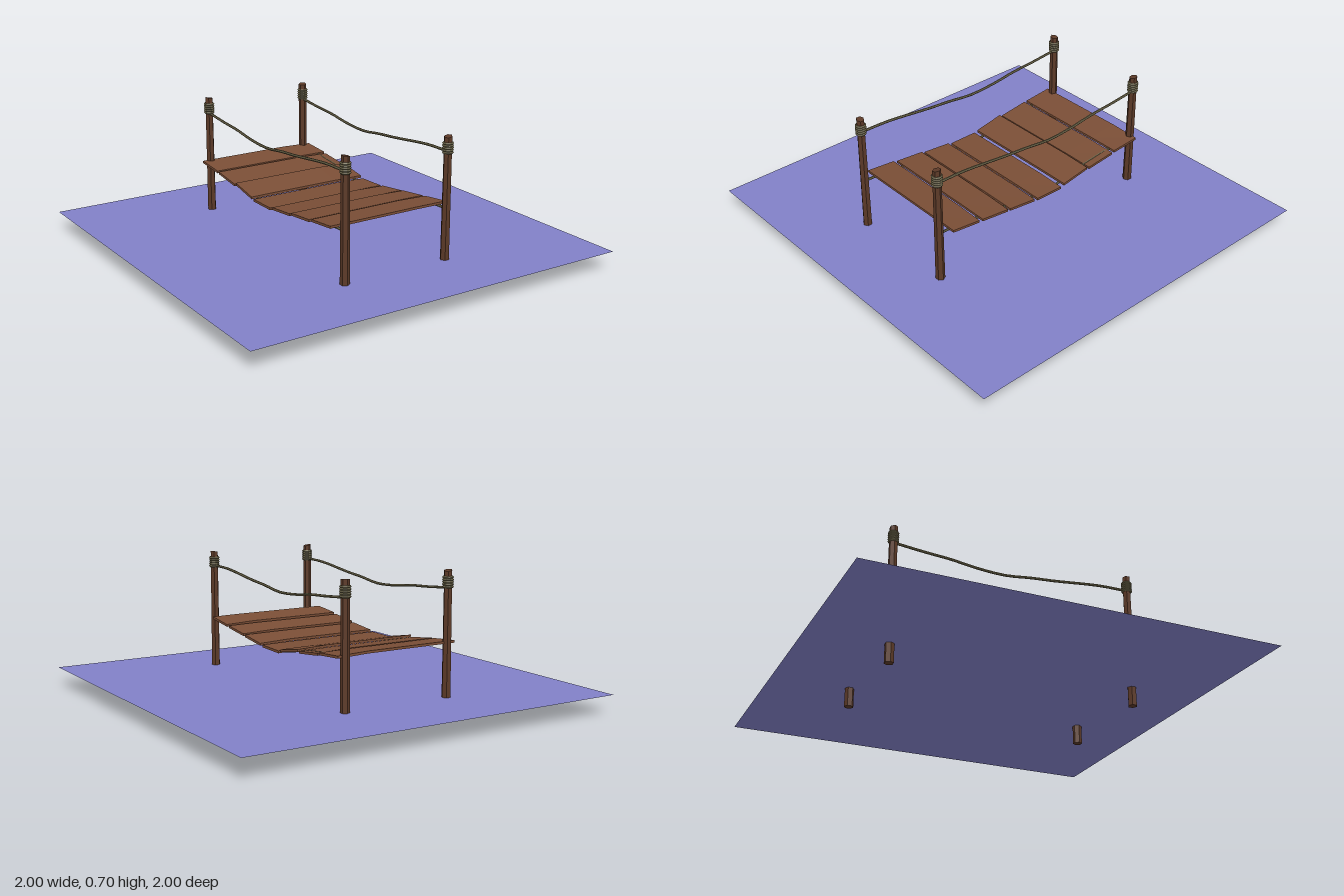
import * as THREE from 'three';

const mat = (color, extra = {}) => new THREE.MeshStandardMaterial({ color, flatShading: true, ...extra });

export function createModel() {
  const group = new THREE.Group();
  const wood = mat(0x7a4e36), darkWood = mat(0x5c3a28), rope = mat(0x70694c);
  const water = mat(0x8280c8, { side: THREE.DoubleSide });

  const add = (name, geometry, material, x = 0, y = 0, z = 0) => {
    const mesh = new THREE.Mesh(geometry, material);
    mesh.name = name;
    mesh.position.set(x, y, z);
    group.add(mesh);
    return mesh;
  };

  // Flat sheet of water that the post feet dip through
  add('water', new THREE.PlaneGeometry(2, 2).rotateX(-Math.PI / 2), water, 0, 0.095, 0);

  const sides = [-0.302, 0.265];
  const ends = [0.633, -0.612];

  // Posts with a slightly slanted top, each bound with turns of rope
  sides.forEach((x, i) => ends.forEach((z, j) => {
    const post = new THREE.CylinderGeometry(0.02, 0.023, 0.695, 6);
    const p = post.attributes.position;
    for (let k = 0; k < p.count; k++) {
      if (p.getY(k) > 0) p.setY(k, p.getY(k) + p.getX(k) * 0.2 * (i ? 1 : -1));
    }
    post.computeVertexNormals();
    add('post', post, darkWood, x, 0.3475, z).rotation.y = (i + j) * 0.5;
    for (let k = 0; k < 5; k++) {
      const turn = new THREE.TorusGeometry(0.021, 0.0065, 5, 10).rotateX(Math.PI / 2);
      add('ropeBinding', turn, rope, x, 0.619 + k * 0.011, z);
    }
  }));

  // Sagging hand ropes and the ropes that carry the deck, as [z, y] points
  const handLine = [[0.63, 0.623], [0.48, 0.62], [0.22, 0.592], [0.1, 0.582], [-0.04, 0.566],
    [-0.2, 0.574], [-0.32, 0.59], [-0.45, 0.599], [-0.61, 0.614]];
  const deckLine = [[0.63, 0.347], [0.54, 0.344], [0.4, 0.328], [0.2, 0.308], [0.08, 0.288],
    [0, 0.281], [-0.1, 0.287], [-0.25, 0.315], [-0.42, 0.334], [-0.61, 0.352]];
  const addRope = (name, x, line) => {
    const curve = new THREE.CatmullRomCurve3(line.map(([z, y]) => new THREE.Vector3(x, y, z)));
    add(name, new THREE.TubeGeometry(curve, 24, 0.0065, 6), rope);
  };
  for (const x of sides) {
    addRope('handRope', x, handLine);
    addRope('deckRope', x, deckLine);
  }

  // Planks: [front z, back z, top height at front, top height at back]
  const planks = [
    [0.58, 0.425, 0.363, 0.349], [0.405, 0.25, 0.342, 0.328], [0.235, 0.08, 0.321, 0.307],
    [0.06, -0.095, 0.299, 0.299], [-0.115, -0.27, 0.305, 0.335],
    [-0.285, -0.445, 0.326, 0.347], [-0.46, -0.615, 0.348, 0.363],
  ];
  const thickness = 0.012;
  for (const [z0, z1, y0, y1] of planks) {
    const g = new THREE.BoxGeometry(0.65, thickness, z0 - z1, 4, 1, 1);
    const p = g.attributes.position;
    for (let k = 0; k < p.count; k++) {
      const front = p.getZ(k) > 0;
      // Tilt along the sag, with one worn, drooping corner
      const droop = p.getX(k) > 0.3 ? (front ? 0.002 : 0.006) : 0;
      p.setY(k, p.getY(k) + (front ? y0 : y1) - thickness / 2 - droop);
    }
    g.computeVertexNormals();
    add('plank', g, wood, -0.02, 0, (z0 + z1) / 2);
  }

  return group;
}
